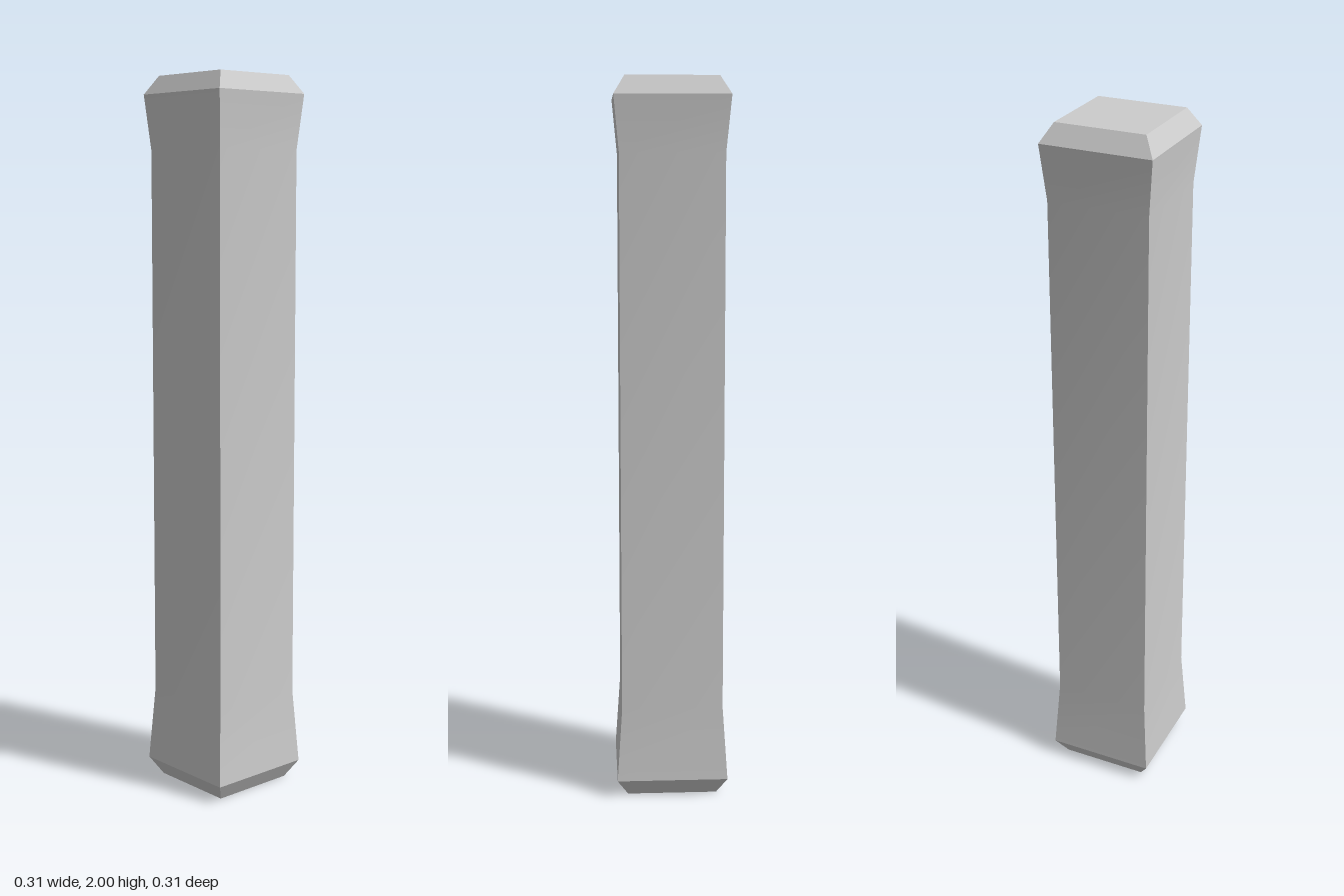
import * as THREE from 'three';
import { toCreasedNormals } from 'three/addons/utils/BufferGeometryUtils.js';

// Square column profile: [height, half width in x, half width in z]
const PROFILE = [
  [0, 0.126, 0.124],
  [0.05, 0.156, 0.154],
  [0.26, 0.142, 0.14],
  [1.8, 0.142, 0.14],
  [1.95, 0.156, 0.154],
  [2, 0.126, 0.124],
];

export function createModel() {
  const model = new THREE.Group();
  model.name = 'squarePost';

  // One box, its rings moved onto the profile: bevelled ends, flared foot and head
  const rings = PROFILE.length - 1;
  const box = new THREE.BoxGeometry(2, rings, 2, 1, rings, 1);
  const pos = box.attributes.position;
  for (let i = 0; i < pos.count; i++) {
    const [y, hx, hz] = PROFILE[Math.round(pos.getY(i) + rings / 2)];
    pos.setXYZ(i, Math.sign(pos.getX(i)) * hx, y, Math.sign(pos.getZ(i)) * hz);
  }

  // Soft shading along the flares, sharp corners and bevels
  const post = new THREE.Mesh(
    toCreasedNormals(box, 0.4),
    new THREE.MeshStandardMaterial({ color: 0xcccccc })
  );
  post.name = 'post';
  model.add(post);
  return model;
}
